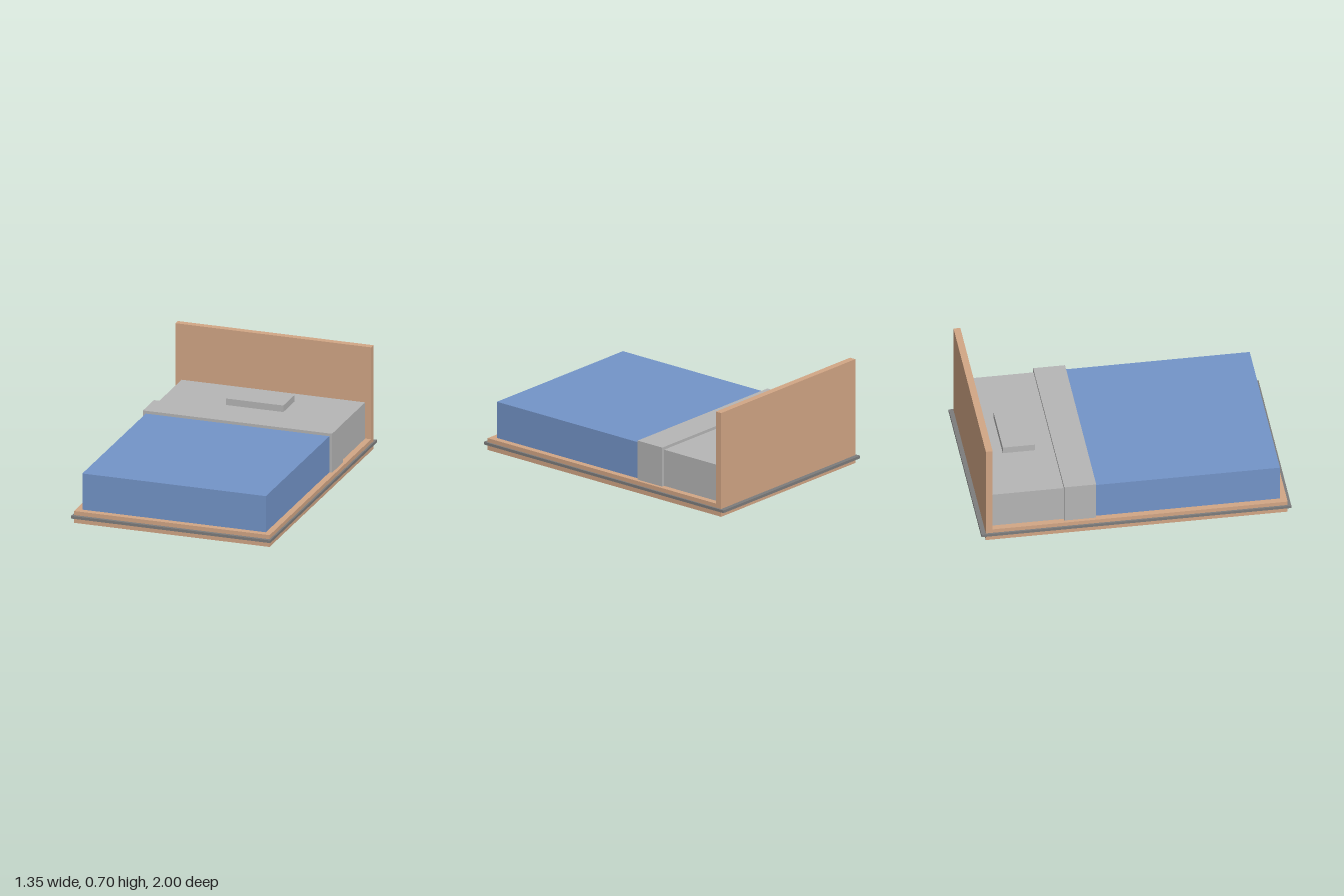
import * as THREE from 'three';

export function createModel() {
  const bed = new THREE.Group();
  bed.name = 'bed';

  const material = (name, color) => {
    const m = new THREE.MeshStandardMaterial({ color });
    m.name = name;
    return m;
  };
  const wood = material('wood', 0xd2a685);
  const trimGrey = material('trim grey', 0x7c7c7c);
  const linen = material('linen', 0xb5b5b5);
  const blanketBlue = material('blanket blue', 0x7394c8);

  // Box given by its lowest and highest corner
  const box = (name, mat, [x0, y0, z0], [x1, y1, z1]) => {
    const mesh = new THREE.Mesh(new THREE.BoxGeometry(x1 - x0, y1 - y0, z1 - z0), mat);
    mesh.position.set((x0 + x1) / 2, (y0 + y1) / 2, (z0 + z1) / 2);
    mesh.name = name;
    bed.add(mesh);
    return mesh;
  };

  const W = 0.663, BACK = -0.97, FRONT = 0.978, T = 0.005;

  // Thin skirt under the base, open below
  for (const side of [-1, 1]) {
    const x = side * (W - T / 2);
    box('skirtSide', wood, [x - T / 2, 0, BACK], [x + T / 2, 0.035, FRONT]);
  }
  box('skirtBack', wood, [-W + T, 0, BACK], [W - T, 0.035, BACK + T]);
  box('skirtFront', wood, [-W + T, 0, FRONT - T], [W - T, 0.035, FRONT]);

  // Base slab with its protruding trim, and the platform on top
  box('trimSlab', trimGrey, [-0.675, 0.035, -1], [0.675, 0.053, 1]);
  box('platform', wood, [-W, 0.053, BACK], [W, 0.08, FRONT]);
  box('headboard', wood, [-W, 0.08, BACK], [W, 0.703, -0.926]);

  // Mattress, blanket and folded sheet
  box('mattress', linen, [-0.622, 0.08, -0.926], [0.622, 0.325, -0.46]);
  box('foldedSheet', linen, [-0.641, 0.08, -0.46], [0.641, 0.344, -0.254]);
  box('blanket', blanketBlue, [-0.622, 0.08, -0.254], [0.622, 0.325, 0.935]);

  // Pillow
  box('pillow', linen, [-0.196, 0.325, -0.787], [0.193, 0.369, -0.579]);

  return bed;
}
